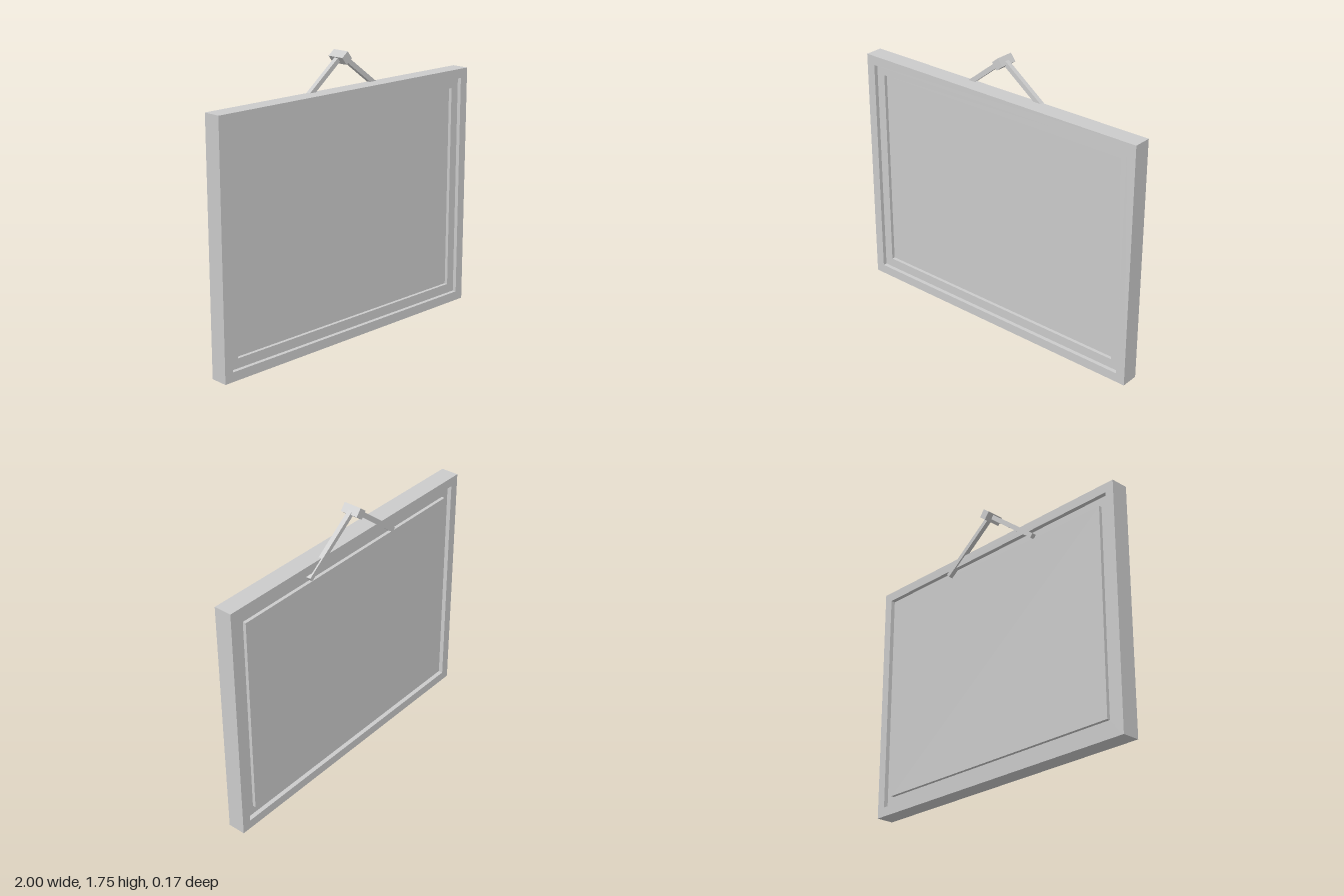
import * as THREE from 'three';

const material = new THREE.MeshStandardMaterial({ color: 0xcccccc, flatShading: true });
const CENTER_Y = 0.766;

function add(group, name, geometry) {
  const mesh = new THREE.Mesh(geometry, material);
  mesh.name = name;
  group.add(mesh);
  return mesh;
}

// Rectangle outline centred on the origin
function trace(path, w, h) {
  path.moveTo(-w / 2, -h / 2);
  path.lineTo(w / 2, -h / 2);
  path.lineTo(w / 2, h / 2);
  path.lineTo(-w / 2, h / 2);
  path.closePath();
  return path;
}

// Rectangular ring between two depths
function ring(group, name, outer, inner, z0, z1) {
  const shape = trace(new THREE.Shape(), ...outer);
  shape.holes.push(trace(new THREE.Path(), ...inner));
  const geometry = new THREE.ExtrudeGeometry(shape, { depth: z1 - z0, bevelEnabled: false });
  add(group, name, geometry).position.set(0, CENTER_Y, z0);
}

// Flat bar running from one point to another
function strap(group, name, x0, y0, x1, y1) {
  const dx = x1 - x0, dy = y1 - y0;
  const mesh = add(group, name, new THREE.BoxGeometry(Math.hypot(dx, dy), 0.029, 0.029));
  mesh.position.set((x0 + x1) / 2, (y0 + y1) / 2, -0.025);
  mesh.rotation.z = Math.atan2(dy, dx);
}

export function createModel() {
  const group = new THREE.Group();
  group.name = 'hangingPicture';

  // Stepped frame with the picture panel set towards the back
  const outer = [2, 2 * CENTER_Y], middle = [1.885, 1.415], inner = [1.77, 1.296];
  ring(group, 'outerFrame', outer, middle, -0.03, 0.083);
  ring(group, 'innerFrame', middle, inner, -0.002, 0.058);
  add(group, 'picturePanel', new THREE.BoxGeometry(inner[0], inner[1], 0.06))
    .position.set(0, CENTER_Y, 0.007);

  // Two hanging straps meeting at the peg
  strap(group, 'rightStrap', -0.361, 1.43, -0.004, 1.714);
  strap(group, 'leftStrap', 0.376, 1.442, 0.004, 1.717);

  // Square peg turned on its corner
  const peg = add(group, 'peg', new THREE.BoxGeometry(0.055, 0.055, 0.114));
  peg.position.set(-0.002, 1.708, -0.026);
  peg.rotation.z = THREE.MathUtils.degToRad(38);

  return group;
}
